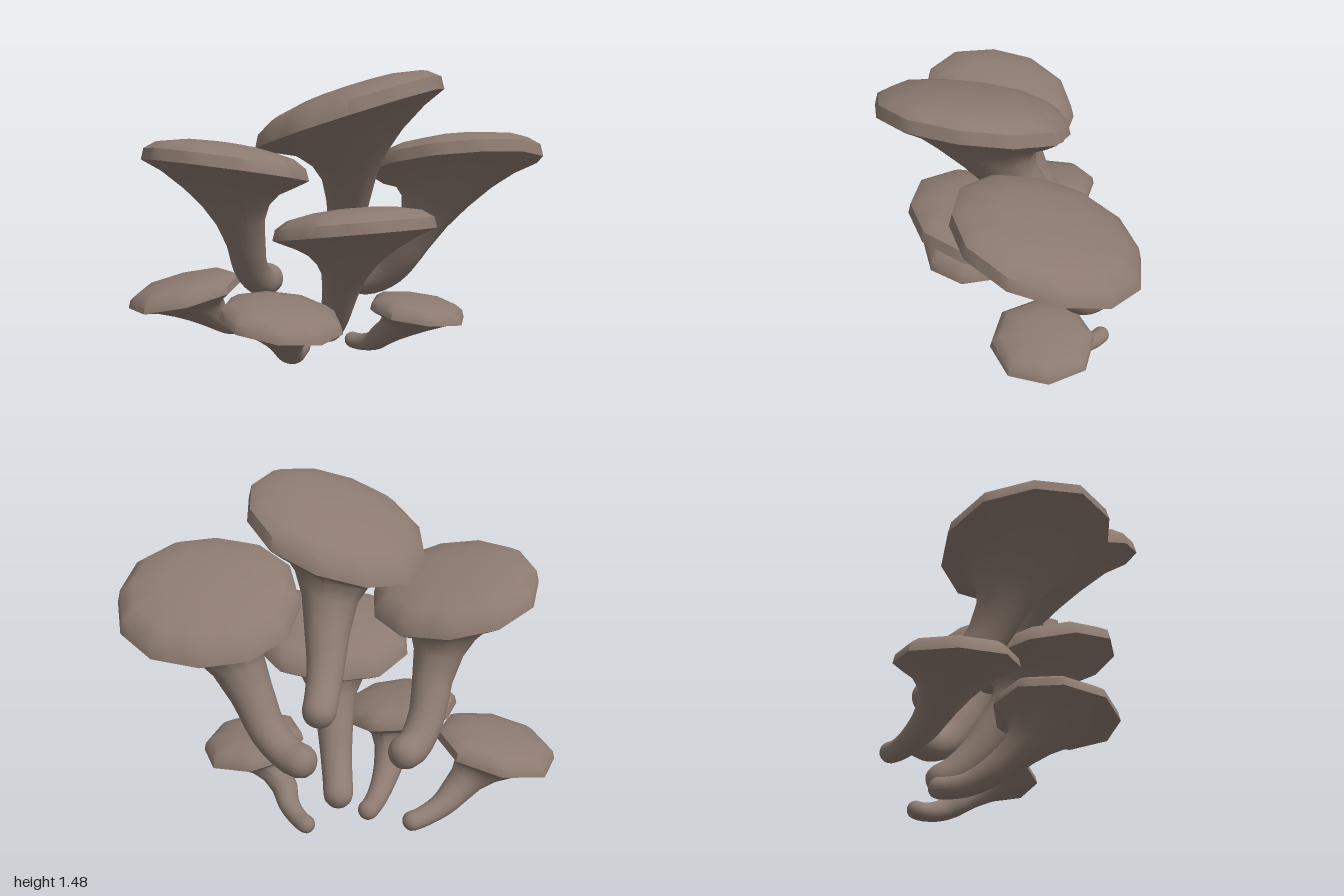
import * as THREE from 'three';
import { toCreasedNormals } from 'three/addons/utils/BufferGeometryUtils.js';

const V = (x, y, z) => new THREE.Vector3(x, y, z);

// Underside flare: [radius fraction, depth below rim / radius, share of cap outline]
const FLARE = [[0.25, 1.1, 0.1], [0.31, 0.75, 0.3], [0.42, 0.5, 0.55], [0.58, 0.3, 0.8], [0.8, 0.13, 1]];
// Cap top: [radius fraction, height fraction]
const DOME = [[1, 0], [0.965, 0.42], [0.82, 0.72], [0.5, 0.93], [0.2, 1], [0, 1]];

// Faceted oval rim as offsets from the cap centre, each edge split in three
function rimOffsets(rx, rz, slopeX, slopeZ, sides, phase) {
  const corners = Array.from({ length: sides }, (_, i) => {
    const a = phase + (i / sides) * Math.PI * 2;
    const bulge = 1 + 0.03 * Math.sin(2 * a) ** 2;
    const x = rx * bulge * Math.cos(a), z = rz * bulge * Math.sin(a);
    return V(x, slopeX * x + slopeZ * z, z);
  });
  return corners.flatMap((c, i) =>
    [0, 1 / 3, 2 / 3].map((t) => c.clone().lerp(corners[(i + 1) % sides], t)));
}

// One skin from root tip through the stem and flare, round the rim and over the dome
function mushroomGeometry(centre, rim, R, stem, path) {
  const spine = new THREE.CatmullRomCurve3([...path, centre]);
  const length = spine.getLength();
  const up = V(0, 1, 0);
  const rings = [];

  const addStemRing = (distance, radius, capShare = 0, frac = 0) => {
    const u = THREE.MathUtils.clamp(distance / length, 0, 1);
    const p = spine.getPointAt(u);
    const q = new THREE.Quaternion().setFromUnitVectors(up, spine.getTangentAt(u));
    rings.push(rim.map((o) => V(o.x, 0, o.z).setLength(radius).applyQuaternion(q)
      .lerp(o.clone().multiplyScalar(frac), capShare).add(p)));
  };

  // Rounded root tip
  for (const a of [0, 0.3, 0.6, 0.9, 1.2]) addStemRing(stem * (1 - Math.cos(a)), stem * Math.sin(a));
  // Stem, widening slowly towards the flare
  const neck = Math.max(stem, FLARE[0][0] * R);
  for (let t = 0; t < 0.95; t += 0.1) {
    addStemRing(THREE.MathUtils.lerp(stem, length - FLARE[0][1] * R, t), THREE.MathUtils.lerp(stem, neck, t * t));
  }
  // Flare under the cap
  for (const [frac, depth, share] of FLARE) {
    addStemRing(length - depth * R, Math.max(stem, frac * R), share, frac);
  }
  // Rim and dome
  for (const [frac, h] of DOME) {
    rings.push(rim.map((o) => o.clone().multiplyScalar(frac).add(centre).add(V(0, h * 0.34 * R, 0))));
  }

  const n = rim.length, index = [];
  for (let i = 0; i < rings.length - 1; i++) {
    for (let j = 0; j < n; j++) {
      const a = i * n + j, b = i * n + (j + 1) % n;
      if (i > 0) index.push(a, b + n, b);
      if (i < rings.length - 2) index.push(a, a + n, b + n);
    }
  }
  const geometry = new THREE.BufferGeometry().setFromPoints(rings.flat());
  geometry.setIndex(index);
  return toCreasedNormals(geometry, 0.8);
}

export function createModel() {
  const group = new THREE.Group();
  group.name = 'mushroomCluster';
  const material = new THREE.MeshStandardMaterial({ color: 0x8c7a70 });
  material.name = 'mushroom brown';

  // cap: half width, half depth, slope along x, slope along z, sides, phase
  const addMushroom = (name, centre, cap, stem, path) => {
    const geometry = mushroomGeometry(centre, rimOffsets(...cap), (cap[0] + cap[1]) / 2, stem, path);
    const mesh = new THREE.Mesh(geometry, material);
    mesh.name = name;
    group.add(mesh);
  };

  // Top tier
  addMushroom('topMushroom', V(0.01, 1.26, 0.15), [0.42, 0.43, 0.29, 0.18, 12, 0.2], 0.078,
    [V(0.09, 0.61, -0.46), V(0.08, 0.61, -0.35), V(0.06, 0.72, -0.21), V(0.05, 0.92, -0.06)]);
  // Upper pair
  addMushroom('upperRightMushroom', V(-0.53, 1.02, -0.015), [0.38, 0.37, -0.16, 0.15, 11, Math.PI], 0.08,
    [V(-0.25, 0.43, -0.46), V(-0.33, 0.41, -0.38), V(-0.4, 0.5, -0.27), V(-0.44, 0.69, -0.15)]);
  addMushroom('upperLeftMushroom', V(0.585, 1, -0.11), [0.415, 0.4, 0.02, 0.3, 12, 0], 0.08,
    [V(0.11, 0.4, -0.49), V(0.2, 0.38, -0.42), V(0.31, 0.45, -0.33), V(0.4, 0.62, -0.24)]);
  // Middle
  addMushroom('middleMushroom', V(0.04, 0.73, 0.12), [0.38, 0.34, 0.05, 0.2, 10, Math.PI / 2], 0.07,
    [V(0, 0.14, -0.42), V(0, 0.15, -0.34), V(0.01, 0.25, -0.22), V(0.02, 0.42, -0.1)]);
  // Small ones at the foot
  addMushroom('lowerRightMushroom', V(-0.725, 0.37, -0.305), [0.275, 0.25, 0.2, 0, 8, 0], 0.045,
    [V(-0.3, 0.15, -0.59), V(-0.38, 0.14, -0.53), V(-0.48, 0.165, -0.46), V(-0.57, 0.23, -0.39)]);
  addMushroom('lowerMiddleMushroom', V(-0.3, 0.33, 0.13), [0.285, 0.275, -0.12, -0.1, 9, Math.PI], 0.048,
    [V(-0.12, 0.07, -0.4), V(-0.15, 0.055, -0.34), V(-0.19, 0.06, -0.24), V(-0.24, 0.13, -0.1)]);
  addMushroom('lowerLeftMushroom', V(0.41, 0.27, -0.125), [0.24, 0.245, -0.13, 0, 8, 0], 0.042,
    [V(0.12, 0.05, -0.49), V(0.17, 0.043, -0.43), V(0.23, 0.07, -0.34), V(0.27, 0.14, -0.24)]);
  return group;
}
